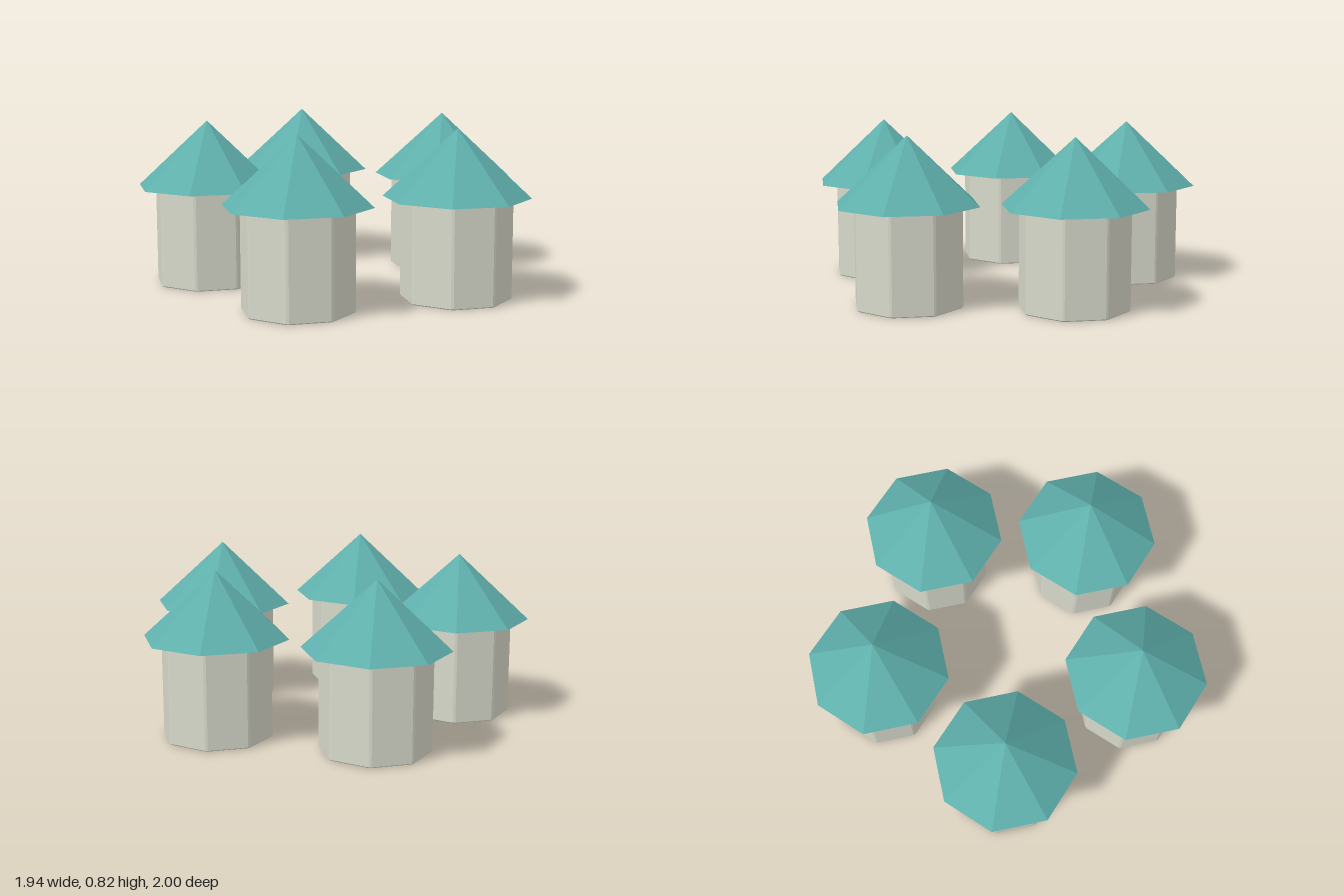
import * as THREE from 'three';

const SIDES = 8, WALL_R = 0.272, WALL_TOP = 0.49, ROOF_R = 0.357, ROOF_H = 0.33, BEVEL = 0.005;

// Octagon outline with a point on the x axis and narrowly cut corners
function octagon(radius, cut) {
  const corner = i => new THREE.Vector2(
    Math.cos(i * 2 * Math.PI / SIDES), Math.sin(i * 2 * Math.PI / SIDES)).multiplyScalar(radius);
  const points = [];
  for (let i = 0; i < SIDES; i++) {
    points.push(corner(i).lerp(corner(i - 1), cut), corner(i).lerp(corner(i + 1), cut));
  }
  return new THREE.Shape(points);
}

export function createModel() {
  const stone = new THREE.MeshStandardMaterial({ color: 0xd8d9cb, flatShading: true });
  stone.name = 'pale stone';
  const teal = new THREE.MeshStandardMaterial({ color: 0x5fb0ac, flatShading: true });
  teal.name = 'teal roof';

  // Wall: octagonal drum with slightly chamfered edges
  const wallGeometry = new THREE.ExtrudeGeometry(octagon(WALL_R - BEVEL, 0.03), {
    depth: WALL_TOP - BEVEL * 2, bevelEnabled: true,
    bevelSize: BEVEL, bevelThickness: BEVEL, bevelSegments: 1,
  });
  wallGeometry.rotateX(-Math.PI / 2).translate(0, BEVEL, 0);

  // Roof: eight-sided cone with a closed underside
  const roofGeometry = new THREE.ConeGeometry(ROOF_R, ROOF_H, SIDES);
  roofGeometry.translate(0, WALL_TOP + ROOF_H / 2, 0);

  // Five huts in a ring
  const model = new THREE.Group();
  model.name = 'hutRing';
  for (let i = 0; i < 5; i++) {
    const angle = i * 2 * Math.PI / 5;
    const hut = new THREE.Group();
    hut.name = `hut${i + 1}`;
    const wall = new THREE.Mesh(wallGeometry, stone);
    wall.name = 'wall';
    const roof = new THREE.Mesh(roofGeometry, teal);
    roof.name = 'roof';
    hut.add(wall, roof);
    hut.position.set(-0.065 + 0.676 * Math.cos(angle), 0, 0.676 * Math.sin(angle));
    model.add(hut);
  }
  return model;
}
